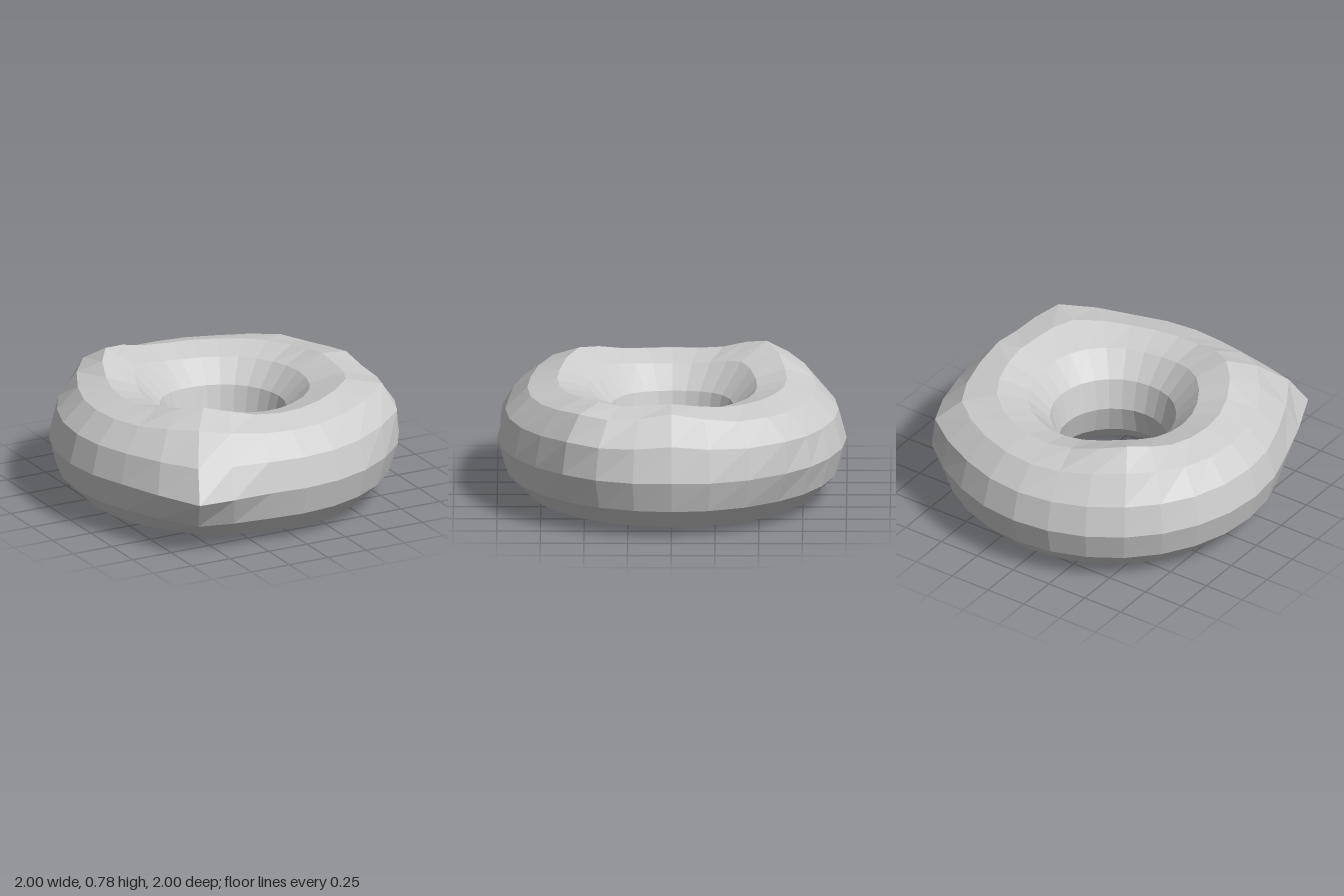
import * as THREE from 'three';

const RING = 0.6575, TUBE = 0.3425, FALLOFF = 0.24;

// Soft pulls: each drags the surface near a point by an offset, fading smoothly
const pulls = [
  { at: [-0.62, 0.34, 0.78], by: [-0.06, 0, 0.19] },      // pointed corner, front
  { at: [-0.41, 0.685, -0.515], by: [-0.065, 0.095, -0.025] }, // top bump, back
  { at: [-0.41, 0.685, 0.515], by: [-0.01, 0.07, 0.015] },  // top bump, front
  { at: [0.83, 0.64, 0], by: [-0.03, 0.07, 0] },          // shoulder bump, side
  { at: [0.65, 0.64, 0.52], by: [0.1, 0.055, 0.01] },     // shoulder corner, front
  { at: [0.75, 0.515, -0.595], by: [0.04, 0.03, -0.06] }, // shoulder corner, back
].map(({ at, by }) => ({ at: new THREE.Vector3(...at), by: new THREE.Vector3(...by) }));

function sculpt(geometry) {
  const pos = geometry.attributes.position;
  const p = new THREE.Vector3(), moved = new THREE.Vector3();
  for (let i = 0; i < pos.count; i++) {
    p.fromBufferAttribute(pos, i);
    moved.copy(p);
    for (const { at, by } of pulls) {
      moved.addScaledVector(by, Math.exp(-p.distanceToSquared(at) / FALLOFF ** 2));
    }
    pos.setXYZ(i, moved.x, moved.y, moved.z);
  }
  geometry.computeVertexNormals();
  return geometry;
}

export function createModel() {
  const group = new THREE.Group();
  group.name = 'sculptedRing';

  // Low-poly ring lying flat on the ground, with pulled bumps and corners
  const geometry = new THREE.TorusGeometry(RING, TUBE, 12, 28);
  geometry.rotateX(-Math.PI / 2).translate(0, TUBE, 0);
  const ring = new THREE.Mesh(
    sculpt(geometry),
    new THREE.MeshStandardMaterial({ color: 0xcccccc, flatShading: true })
  );
  ring.name = 'ringBody';
  group.add(ring);
  return group;
}
